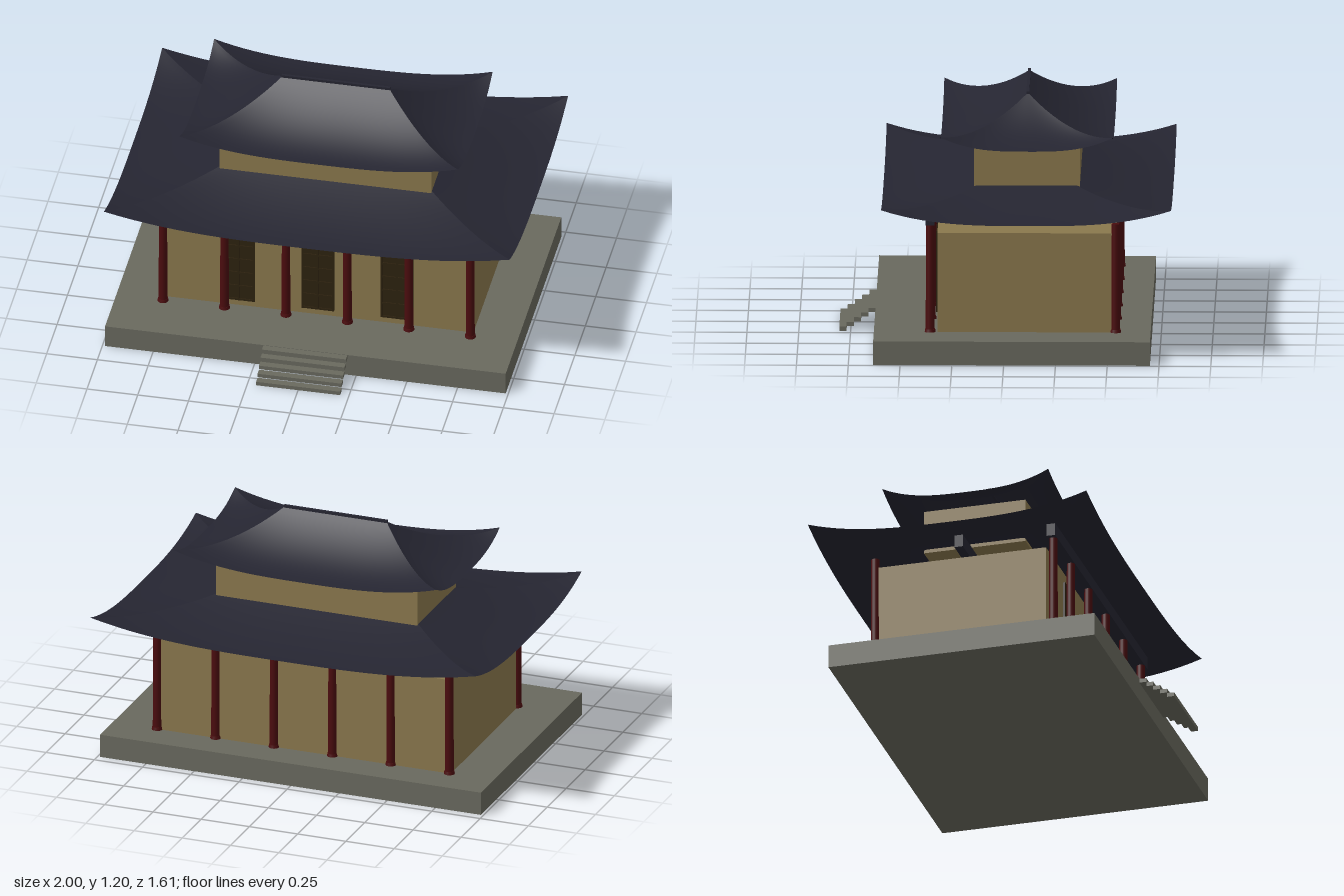
import * as THREE from 'three';

const mat = (name, color, side = THREE.FrontSide) => {
  const m = new THREE.MeshStandardMaterial({ color, side });
  m.name = name;
  return m;
};

export function createModel() {
  const root = new THREE.Group();
  root.name = 'templeHall';

  const stone = mat('stone', 0x69695e);
  const plaster = mat('plaster', 0x8a784d);
  const tile = mat('roofTile', 0x252531, THREE.DoubleSide);
  const timber = mat('darkTimber', 0x252531);
  const lacquer = mat('redLacquer', 0x4a0c0e);
  const doorWood = mat('doorWood', 0x2d220f);

  const add = (name, geometry, material, x, y, z, parent = root) => {
    const mesh = new THREE.Mesh(geometry, material);
    mesh.name = name;
    mesh.position.set(x, y, z);
    parent.add(mesh);
    return mesh;
  };
  // Box given by its x, y and z limits
  const box = (name, material, [x0, x1], [y0, y1], [z0, z1], parent) =>
    add(name, new THREE.BoxGeometry(x1 - x0, y1 - y0, z1 - z0), material,
      (x0 + x1) / 2, (y0 + y1) / 2, (z0 + z1) / 2, parent);

  const floorY = 0.116, midZ = -0.106;

  // Platform and floating stair treads
  box('platform', stone, [-0.987, 0.987], [0, floorY], [-0.706, 0.63]);
  const stairs = new THREE.Group();
  stairs.name = 'stairs';
  root.add(stairs);
  for (let i = 0; i < 5; i++) {
    const z = 0.63 + (4 - i) * 0.035, y = i * 0.0235;
    box('stairTread', stone, [-0.207, 0.207], [y, y + 0.02], [z, z + 0.035], stairs);
  }

  // Walls of both storeys
  box('lowerWalls', plaster, [-0.765, 0.765], [floorY, 0.605], [-0.539, 0.323]);
  box('upperWalls', plaster, [-0.522, 0.522], [0.77, 0.99], [midZ - 0.255, midZ + 0.255]);

  // Doors with lattice bars
  for (const x of [-0.39, 0, 0.39]) {
    const door = new THREE.Group();
    door.name = 'door';
    door.position.set(x, 0.15, 0.323);
    root.add(door);
    box('doorPanel', doorWood, [-0.08, 0.08], [0, 0.4], [0, 0.005], door);
    for (const bx of [-0.075, 0, 0.075])
      box('doorStile', doorWood, [bx - 0.005, bx + 0.005], [0, 0.4], [0.005, 0.011], door);
    for (let i = 0; i < 6; i++) {
      const y = 0.005 + i * 0.078;
      box('doorRail', doorWood, [-0.08, 0.08], [y - 0.005, y + 0.005], [0.005, 0.01], door);
    }
  }

  // Front and back rows of columns
  const shaft = new THREE.CylinderGeometry(0.02, 0.022, 0.535, 16);
  const foot = new THREE.CylinderGeometry(0.024, 0.027, 0.015, 16);
  for (const z of [0.358, -0.537]) {
    for (let i = 0; i < 6; i++) {
      const x = -0.757 + i * 0.3028;
      add('column', shaft, lacquer, x, floorY + 0.2675, z);
      add('columnFoot', foot, lacquer, x, floorY + 0.0075, z);
    }
  }

  // Beams under the lower roof
  for (const z of [0.358, midZ])
    box('beam', timber, [-0.8, 0.8], [0.648, 0.71], [z - 0.0215, z + 0.0215]);

  // Hipped roof: four curved slopes, eaves lifted toward the corners
  const roof = (name, { outer, inner, y, rise, lift, power }) => {
    const group = new THREE.Group();
    group.name = name;
    group.position.set(0, y, midZ);
    root.add(group);
    for (let k = 0; k < 4; k++) {
      const w = k % 2, d = 1 - w;
      const g = new THREE.PlaneGeometry(2, 1, 28, 14);
      const p = g.attributes.position;
      for (let i = 0; i < p.count; i++) {
        const u = p.getX(i), s = p.getY(i) + 0.5;
        p.setXYZ(i,
          u * THREE.MathUtils.lerp(outer[w], inner[w], s),
          rise * s ** power + lift * Math.abs(u) ** 3 * (1 - s) ** 2,
          THREE.MathUtils.lerp(outer[d], inner[d], s));
      }
      g.rotateY(k * Math.PI / 2);
      g.computeVertexNormals();
      add('roofSlope', g, tile, 0, 0, 0, group);
    }
  };
  roof('lowerRoof', { outer: [1, 0.7], inner: [0.515, 0.235], y: 0.69, rise: 0.1, lift: 0.077, power: 1.5 });
  roof('upperRoof', { outer: [0.686, 0.417], inner: [0.262, 0], y: 0.99, rise: 0.2, lift: 0.07, power: 1.75 });

  // Ridge bar
  box('ridge', timber, [-0.267, 0.267], [1.182, 1.197], [midZ - 0.007, midZ + 0.007]);

  return root;
}
